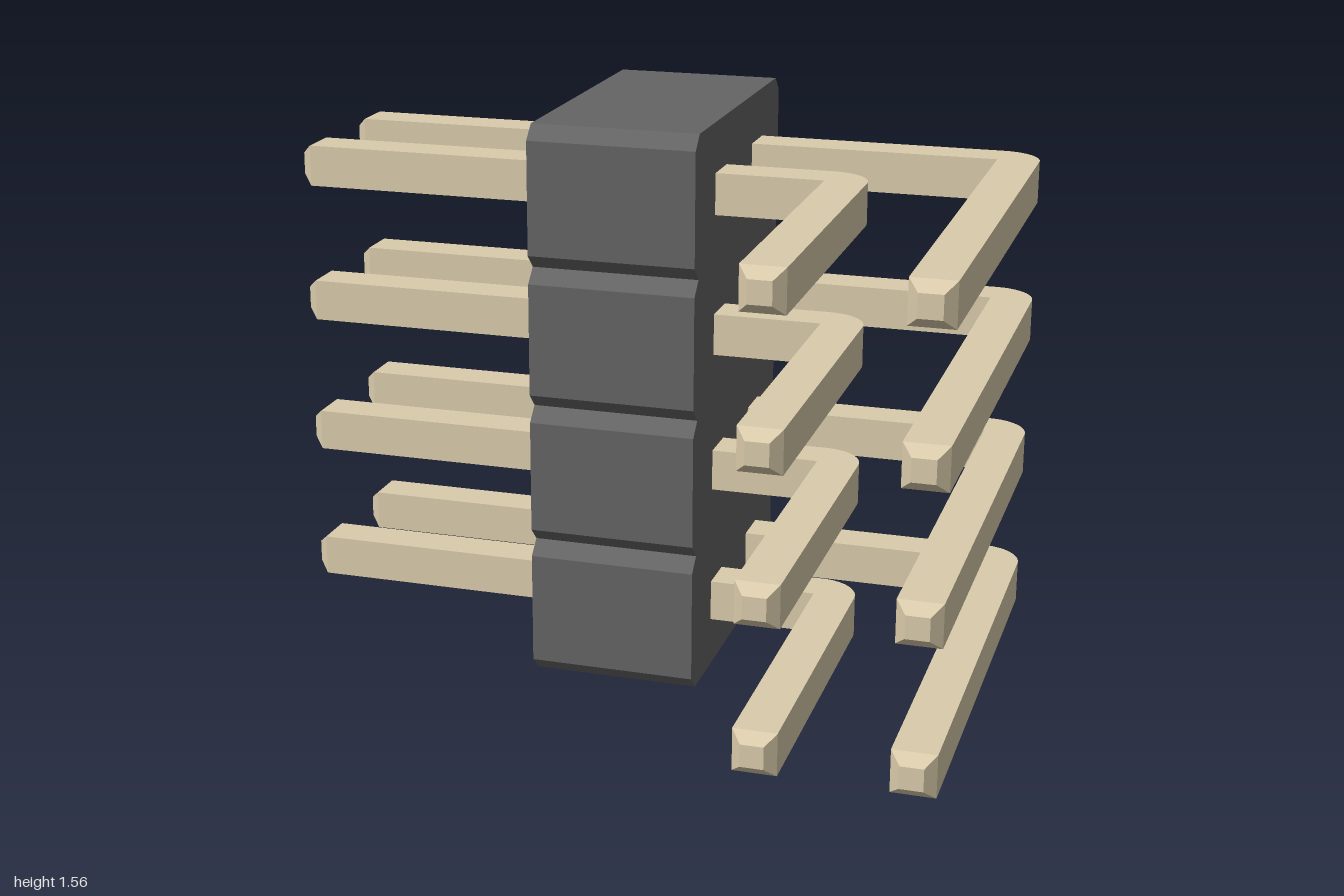
import * as THREE from 'three';
import { mergeGeometries, toCreasedNormals } from 'three/addons/utils/BufferGeometryUtils.js';

const ROWS = 4, PITCH = 0.389; // pin rows stacked in y
const PIN = 0.114, H = PIN / 2; // square pin thickness
const TIP = 0.03, TIP_HALF = 0.03; // chamfered pin ends

// Housing: side outline with a V notch between rows, extruded along x
function housingGeometry() {
  const zMin = -0.8, zMax = 0.09, c = 0.039, x0 = -0.26, x1 = 0.2;
  const front = [], back = [];
  for (let i = 0; i < ROWS; i++) {
    const y0 = i * PITCH, y1 = y0 + PITCH;
    const inset = [[c, y0], [0, y0 + c], [0, y1 - c], [c, y1]];
    for (const [d, y] of inset) {
      // rows share the notch point, so skip its duplicate
      if (i > 0 && y === y0) continue;
      front.push(new THREE.Vector2(-(zMax - d), y));
      back.push(new THREE.Vector2(-(zMin + d), y));
    }
  }
  const shape = new THREE.Shape([...front, ...back.reverse()]);
  const geo = new THREE.ExtrudeGeometry(shape, { depth: x1 - x0, bevelEnabled: false });
  geo.rotateY(Math.PI / 2); // shape x becomes -z, depth becomes +x
  return geo.translate(x0, 0, 0);
}

// Tapered square end pointing along +y, base at y = 0
function tipGeometry() {
  const geo = new THREE.CylinderGeometry(TIP_HALF * Math.SQRT2, H * Math.SQRT2, TIP, 4);
  return geo.rotateY(Math.PI / 4).translate(0, TIP / 2, 0);
}

// Right-angle pin: straight to outerX along x, rounded outside bend, then forward in z
function pinGeometry(z, outerX) {
  const xStart = -1 + TIP, zEnd = 0.8 - TIP;
  const shape = new THREE.Shape();
  shape.moveTo(xStart, z - H);
  shape.lineTo(outerX - PIN, z - H);
  shape.absarc(outerX - PIN, z + H, PIN, -Math.PI / 2, 0, false);
  shape.lineTo(outerX, zEnd);
  shape.lineTo(outerX - PIN, zEnd);
  shape.lineTo(outerX - PIN, z + H);
  shape.lineTo(xStart, z + H);
  shape.closePath();
  const bar = new THREE.ExtrudeGeometry(shape, { depth: PIN, bevelEnabled: false, curveSegments: 8 });
  bar.rotateX(Math.PI / 2).translate(0, H, 0);
  const backTip = tipGeometry().rotateZ(Math.PI / 2).translate(xStart, 0, z).toNonIndexed();
  const frontTip = tipGeometry().rotateX(Math.PI / 2).translate(outerX - H, 0, zEnd).toNonIndexed();
  return toCreasedNormals(mergeGeometries([bar, backTip, frontTip]), 0.5);
}

export function createModel() {
  const group = new THREE.Group();
  group.name = 'rightAnglePinHeader';
  const plastic = new THREE.MeshStandardMaterial({ color: 0x646464 });
  const metal = new THREE.MeshStandardMaterial({ color: 0xdacbab });

  const housing = new THREE.Mesh(housingGeometry(), plastic);
  housing.name = 'housing';
  group.add(housing);

  // Two columns of pins: short inner, long outer
  const columns = [
    ['innerPin', pinGeometry(-0.165, 0.608)],
    ['outerPin', pinGeometry(-0.553, 1)],
  ];
  for (const [name, geo] of columns) {
    for (let i = 0; i < ROWS; i++) {
      const pin = new THREE.Mesh(geo, metal);
      pin.name = name + (i + 1);
      pin.position.y = (i + 0.5) * PITCH;
      group.add(pin);
    }
  }
  return group;
}
